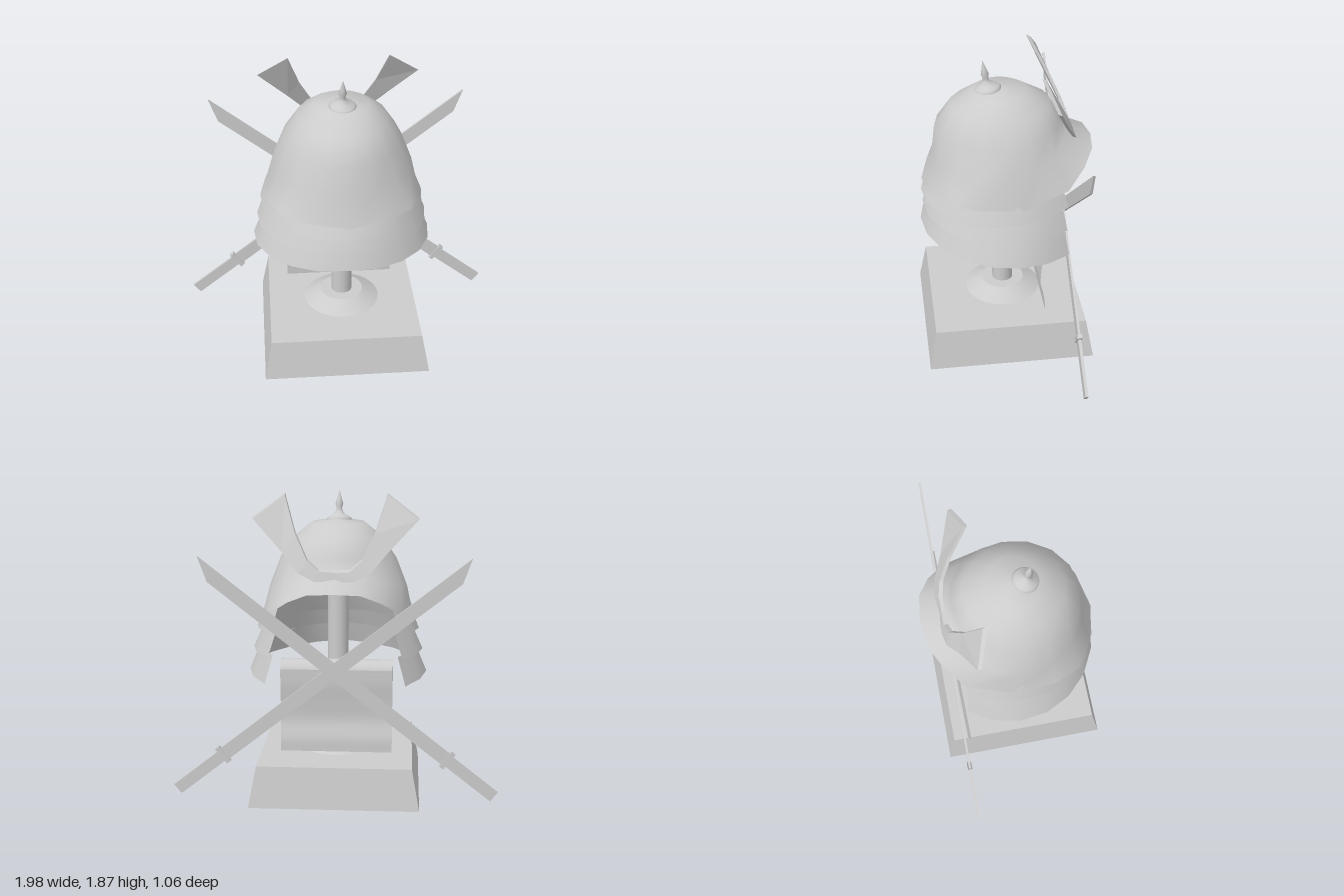
import * as THREE from 'three';

const plain = new THREE.MeshStandardMaterial({ color: 0xcccccc });
const flat = new THREE.MeshStandardMaterial({ color: 0xcccccc, flatShading: true });
const thin = new THREE.MeshStandardMaterial({ color: 0xcccccc, side: THREE.DoubleSide });

// Skin a surface over rows of [x, y, z] points; closed rows wrap round.
function loft(rows, closed) {
  const n = rows[0].length, index = [];
  for (let r = 0; r < rows.length - 1; r++) {
    for (let i = 0; i < (closed ? n : n - 1); i++) {
      const j = (i + 1) % n, a = r * n + i, b = r * n + j, c = a + n, d = b + n;
      index.push(a, c, b, b, c, d);
    }
  }
  const g = new THREE.BufferGeometry();
  g.setAttribute('position', new THREE.Float32BufferAttribute(rows.flat(2), 3));
  g.setIndex(index);
  g.computeVertexNormals();
  return g;
}

export function createModel() {
  const model = new THREE.Group();
  const add = (name, geometry, material, x = 0, y = 0, z = 0, parent = model) => {
    const m = new THREE.Mesh(geometry, material);
    m.name = name;
    m.position.set(x, y, z);
    parent.add(m);
    return m;
  };

  // Tapered base block
  const base = new THREE.BoxGeometry(1.034, 0.25, 1.034);
  const bp = base.attributes.position;
  for (let i = 0; i < bp.count; i++) {
    if (bp.getY(i) > 0) bp.setXYZ(i, bp.getX(i) * 0.91, bp.getY(i), bp.getZ(i) * 0.91);
  }
  base.computeVertexNormals();
  add('base', base, flat, 0, 0.125, 0.015);

  // Foot and post
  add('postFoot', new THREE.CylinderGeometry(0.135, 0.24, 0.06, 32), plain, 0, 0.28, 0.015);
  add('post', new THREE.CylinderGeometry(0.065, 0.065, 1.32, 32), plain, 0, 0.95, 0.015);

  // Cross roller with a hanging cloth
  add('clothRoller', new THREE.CylinderGeometry(0.08, 0.08, 0.69, 24).rotateZ(Math.PI / 2), plain, 0, 0.76, -0.12);
  const drape = new THREE.CatmullRomCurve3([
    [0.79, -0.199], [0.7, -0.199], [0.58, -0.188], [0.46, -0.184], [0.35, -0.21], [0.27, -0.214],
  ].map(([y, z]) => new THREE.Vector3(0, y, z))).getPoints(24);
  add('cloth', loft(drape.map(p => [[0.345, p.y, p.z], [-0.345, p.y, p.z]]), false), thin);

  // Helmet bowl: rings of [side y, front y, half width, back z, front z], then the brim
  const rings = [
    [1.69, 1.69, 0.001, 0.031, 0.029],
    [1.67, 1.67, 0.165, 0.19, -0.13],
    [1.58, 1.595, 0.275, 0.335, -0.27],
    [1.45, 1.5, 0.36, 0.425, -0.335],
    [1.28, 1.41, 0.425, 0.445, -0.37],
  ];
  const rimHalf = [
    [0, 1.33, -0.53], [0.165, 1.32, -0.51], [0.29, 1.26, -0.44], [0.4, 1.175, -0.33], [0.468, 1.1, -0.06],
    [0.46, 1.115, 0.2], [0.39, 1.115, 0.36], [0.22, 1.105, 0.465], [0, 1.09, 0.515],
  ];
  const rows = rings.map(([ySide, yFront, w, back, front]) =>
    Array.from({ length: 16 }, (_, k) => {
      const t = k * Math.PI / 8, c = Math.cos(t);
      const y = ySide + (yFront - ySide) * Math.max(0, c) ** 1.5;
      return [w * Math.sin(t), y, 0.03 + (c > 0 ? (front - 0.03) * c : (0.03 - back) * c)];
    }));
  rows.push([...rimHalf, ...rimHalf.slice(1, 8).reverse().map(([x, y, z]) => [-x, y, z])]);
  add('helmetBowl', loft(rows.map(r => [...r].reverse()), true), thin);
  const inner = rows.map(r => r.map(([x, y, z]) => [x * 0.95, 1.1 + (y - 1.1) * 0.96, 0.03 + (z - 0.03) * 0.95]));
  add('helmetLining', loft(inner.map(r => [...r].reverse()), true), thin);

  // Neck guard: overlapping flared tiers, open at the face
  const tiers = [
    { top: [0.45, 0.46], bottom: [0.503, 0.52], yTop: [1.13, 1.13, 1.19], yBottom: [1.015, 1.0, 1.055] },
    { top: [0.465, 0.47], bottom: [0.527, 0.513], yTop: [1.03, 1.02, 1.05], yBottom: [0.93, 0.89, 0.9] },
    { top: [0.49, 0.485], bottom: [0.553, 0.53], yTop: [0.94, 0.9, 0.91], yBottom: [0.805, 0.765, 0.735] },
  ];
  const neckGuard = new THREE.Group();
  neckGuard.name = 'neckGuard';
  model.add(neckGuard);
  const mix = ([a, b, c], t) => t < 0.5 ? a + (b - a) * t * 2 : b + (c - b) * (t * 2 - 1);
  for (const tier of tiers) {
    const edge = ([rx, rz], ys) => Array.from({ length: 15 }, (_, i) => {
      const s = i / 7 - 1, t = s * 2.27;
      return [rx * Math.sin(t), mix(ys, Math.abs(s)), rz * Math.cos(t)];
    });
    add('neckGuardTier', loft([edge(tier.top, tier.yTop), edge(tier.bottom, tier.yBottom)], false), thin, 0, 0, 0, neckGuard);
  }

  // Finial on the crown
  const finial = [[0.08, -0.02], [0.082, 0.005], [0.07, 0.02], [0.04, 0.035], [0.022, 0.055], [0.016, 0.075],
    [0.024, 0.1], [0.016, 0.13], [0.001, 0.185]].map(([r, y]) => new THREE.Vector2(r, y));
  add('finial', new THREE.LatheGeometry(finial, 24), thin, 0, 1.672, 0.1).rotation.x = 0.16;

  // Horned crest: one plate swept from horn tip to horn tip, each station an inner and outer point
  const half = [
    [[0, 1.435, -0.385], [0, 1.38, -0.4]],
    [[0.09, 1.44, -0.385], [0.12, 1.385, -0.405]],
    [[0.16, 1.5, -0.365], [0.21, 1.43, -0.39]],
    [[0.235, 1.65, -0.295], [0.31, 1.545, -0.33]],
    [[0.305, 1.865, -0.185], [0.49, 1.73, -0.25]],
  ];
  const mirrored = half.slice(1).reverse().map(st => st.map(([x, y, z]) => [-x, y, z]));
  const crestRows = [...mirrored, ...half].map(([a, b]) => {
    const shift = ([x, y, z], d) => [x, y + d * 0.4, z + d];
    return [shift(a, -0.012), shift(b, -0.012), shift(b, 0.012), shift(a, 0.012)];
  });
  // Close both horn tips by collapsing onto their centre
  const cap = r => r.map(() => [0, 1, 2].map(k => (r[0][k] + r[1][k] + r[2][k] + r[3][k]) / 4));
  const crest = loft([cap(crestRows[0]), ...crestRows, cap(crestRows[8])], true).toNonIndexed();
  crest.computeVertexNormals();
  add('hornedCrest', crest, thin);

  // Crossed swords, s is the side the handle lies on
  const slab = (points, depth) => {
    const shape = new THREE.Shape(points.map(([x, y]) => new THREE.Vector2(x, y)));
    return new THREE.ExtrudeGeometry(shape, { depth, bevelEnabled: false }).translate(0, 0, -depth / 2);
  };
  for (const s of [1, -1]) {
    const sword = new THREE.Group();
    sword.name = s > 0 ? 'leftSword' : 'rightSword';
    sword.position.set(s * 0.968, 0.064, s > 0 ? -0.367 : -0.387);
    sword.rotation.z = s > 0 ? Math.PI - 0.669 : 0.669;
    model.add(sword);
    const up = -s * 0.042;
    add('blade', slab([[0.36, -up], [2.155, -up], [2.29, up], [0.36, up]], 0.014), plain, 0, 0, 0, sword);
    add('guard', new THREE.BoxGeometry(0.03, 0.115, 0.03), plain, 0.365, 0, 0, sword);
    add('handle', new THREE.BoxGeometry(0.36, 0.072, 0.018), plain, 0.18, 0, 0, sword);
  }
  return model;
}
